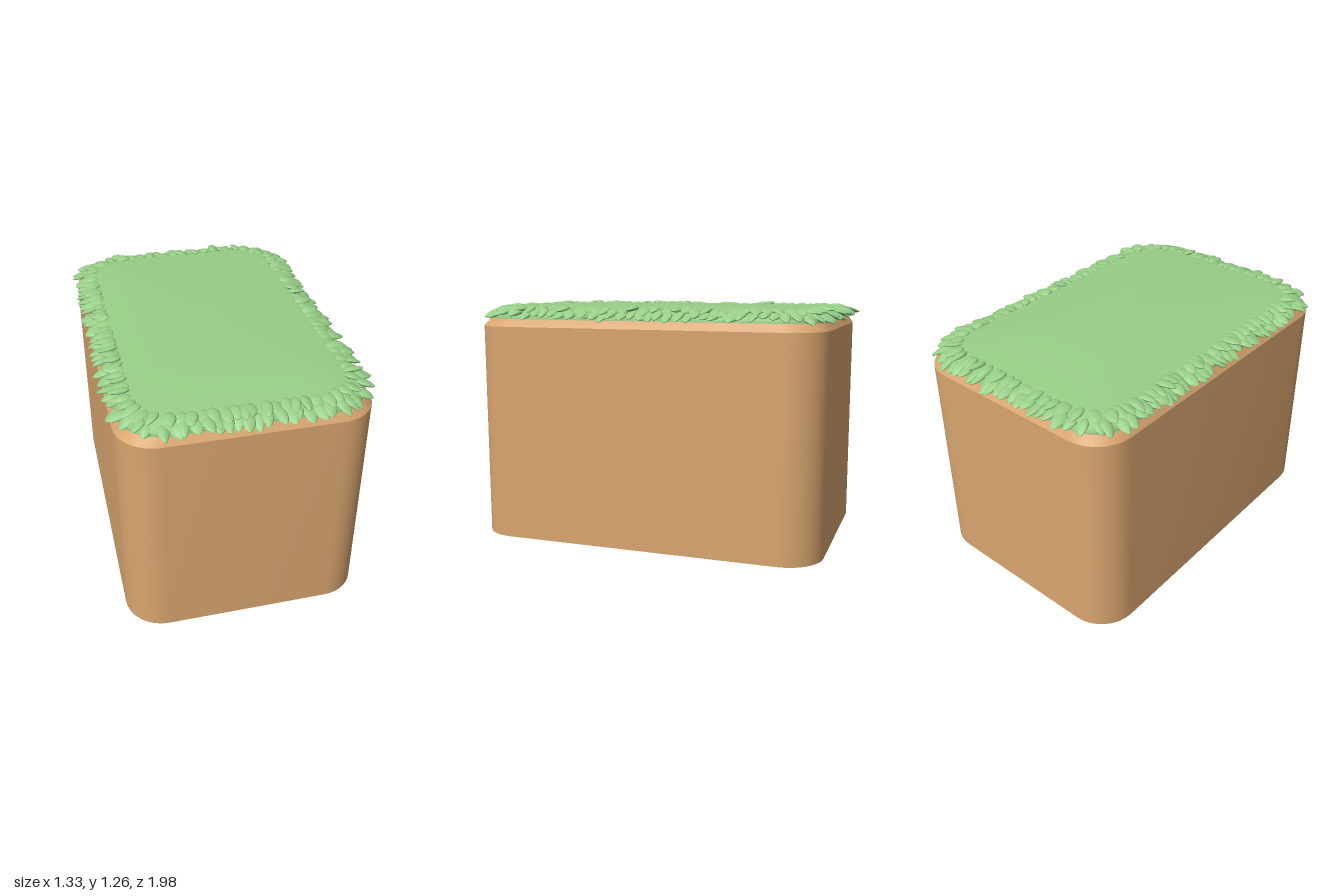
import * as THREE from 'three';
import { mergeGeometries, toCreasedNormals } from 'three/addons/utils/BufferGeometryUtils.js';

const SEG = 8; // facets per rounded corner
const CORNERS = [[1, 1], [-1, 1], [-1, -1], [1, -1]];

// Solid skinned over stacked rounded rectangles [halfX, halfZ, cornerRadius, y], bottom to top
function roundedStack(rings, crease) {
  const n = 4 * (SEG + 1);
  const pos = [], index = [];
  for (const [hx, hz, r, y] of rings) {
    CORNERS.forEach(([sx, sz], q) => {
      for (let i = 0; i <= SEG; i++) {
        const a = (q + i / SEG) * Math.PI / 2;
        pos.push(sx * (hx - r) + r * Math.cos(a), y, sz * (hz - r) + r * Math.sin(a));
      }
    });
  }
  for (let j = 0; j < rings.length - 1; j++) {
    for (let i = 0; i < n; i++) {
      const k = (i + 1) % n;
      const a = j * n + i, b = j * n + k, c = a + n, d = b + n;
      index.push(a, c, b, b, c, d);
    }
  }
  // flat caps as fans from the centre
  const last = (rings.length - 1) * n, bottom = pos.length / 3;
  pos.push(0, rings[0][3], 0, 0, rings[rings.length - 1][3], 0);
  for (let i = 0; i < n; i++) {
    const k = (i + 1) % n;
    index.push(bottom, i, k, bottom + 1, last + k, last + i);
  }
  const geo = new THREE.BufferGeometry();
  geo.setAttribute('position', new THREE.Float32BufferAttribute(pos, 3));
  geo.setIndex(index);
  return toCreasedNormals(geo, crease);
}

// Unit leaf: root at the origin, pointed tip at z = 1, width and thickness 1
function leafGeometry() {
  const geo = new THREE.SphereGeometry(0.5, 10, 8);
  geo.rotateX(Math.PI / 2);
  const p = geo.attributes.position;
  for (let i = 0; i < p.count; i++) {
    const t = p.getZ(i) + 0.5;
    const taper = 1.12 - 0.45 * t * t;
    p.setXYZ(i, p.getX(i) * taper, p.getY(i) * taper - 0.3 * t * t, t);
  }
  geo.computeVertexNormals();
  return geo;
}

function roundedPath(hx, hz, r) {
  const path = new THREE.Path();
  CORNERS.forEach(([sx, sz], q) => {
    path.absarc(sx * (hx - r), sz * (hz - r), r, q * Math.PI / 2, (q + 1) * Math.PI / 2, false);
  });
  path.closePath();
  return path;
}

function seeded(seed) {
  return () => {
    seed = (seed * 16807) % 2147483647;
    return seed / 2147483647;
  };
}

export function createModel() {
  const group = new THREE.Group();
  const brown = new THREE.MeshStandardMaterial({ color: 0xd9a56f });
  const green = new THREE.MeshStandardMaterial({ color: 0x98cf88 });
  const add = (name, geo, mat) => {
    const mesh = new THREE.Mesh(geo, mat);
    mesh.name = name;
    group.add(mesh);
  };

  // Earth block with a small bevel at the top
  add('earthBlock', roundedStack([
    [0.628, 0.945, 0.2, 0],
    [0.628, 0.945, 0.2, 1.15],
    [0.602, 0.92, 0.2, 1.19],
  ], 0.5), brown);

  // Grass slab with softened rim
  add('grassTop', roundedStack([
    [0.602, 0.92, 0.21, 1.185],
    [0.602, 0.92, 0.21, 1.212],
    [0.585, 0.9, 0.21, 1.23],
    [0.55, 0.865, 0.2, 1.243],
    [0.5, 0.815, 0.18, 1.25],
  ], 1.0), green);

  // Rows of overlapping leaves pointing outwards around the rim
  const leaf = leafGeometry();
  const rand = seeded(71);
  const vary = (amount) => (rand() * 2 - 1) * amount;
  const rows = [
    { name: 'outerLeaves', hx: 0.56, hz: 0.88, r: 0.2, y: 1.232, pitch: 0.24, count: 112 },
    { name: 'innerLeaves', hx: 0.515, hz: 0.83, r: 0.19, y: 1.246, pitch: 0.07, count: 104 },
  ];
  for (const row of rows) {
    const path = roundedPath(row.hx, row.hz, row.r);
    const leaves = [];
    for (let i = 0; i < row.count; i++) {
      const u = (i + 0.5 + vary(0.25)) / row.count;
      const p = path.getPointAt(u), t = path.getTangentAt(u);
      const pose = new THREE.Object3D();
      pose.rotation.order = 'YXZ';
      pose.rotation.set(row.pitch + vary(0.14), Math.atan2(t.y, -t.x) + vary(0.3), vary(0.3));
      pose.position.set(p.x, row.y + vary(0.006), p.y);
      pose.scale.set(0.062 + vary(0.008), 0.026, 0.1 + vary(0.014));
      pose.updateMatrix();
      leaves.push(leaf.clone().applyMatrix4(pose.matrix));
    }
    add(row.name, mergeGeometries(leaves), green);
  }
  return group;
}
